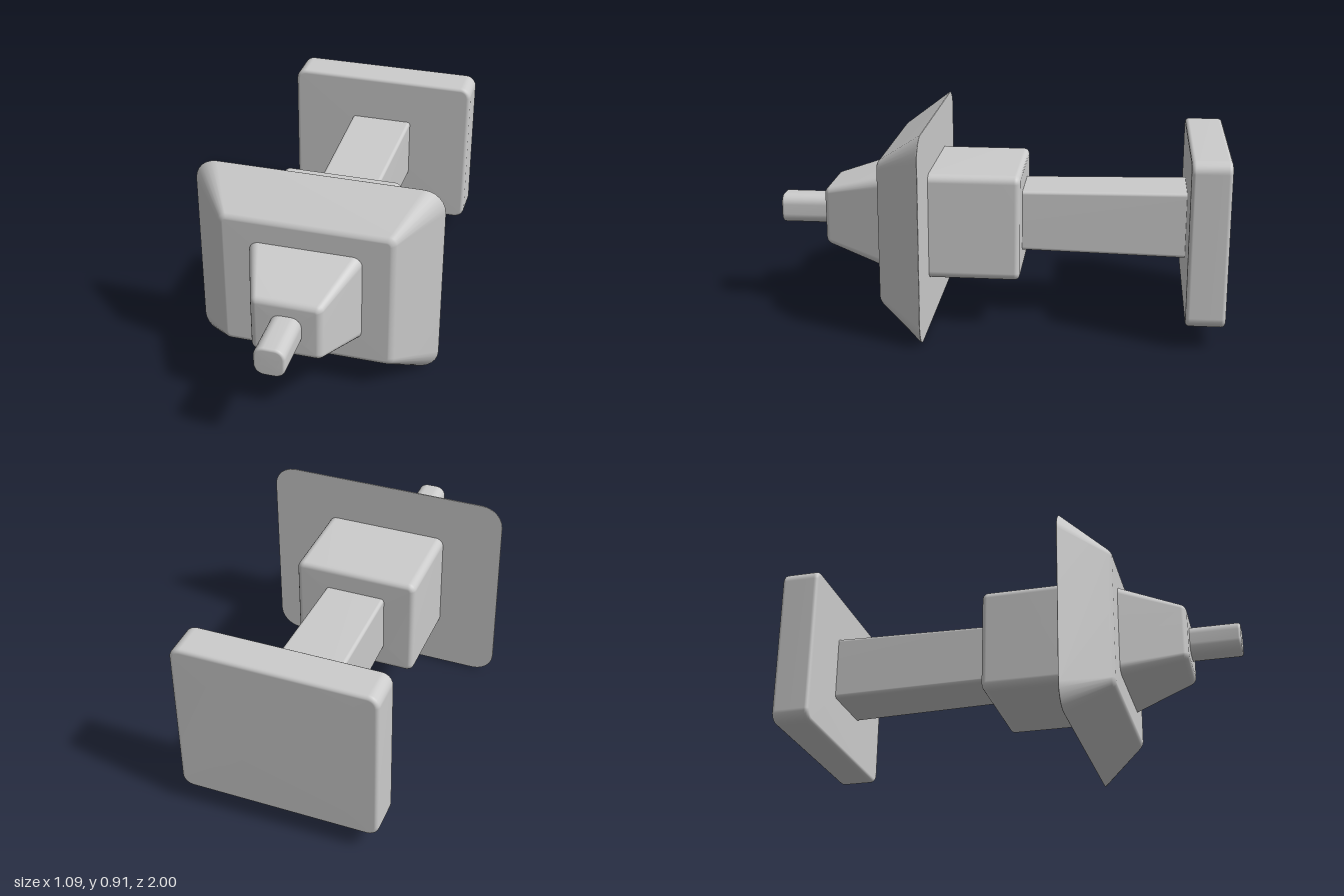
import * as THREE from 'three';

const ARC = 6; // segments per rounded corner
const BEVEL = 4; // segments per rounded end edge

// Outline of a rounded rectangle, counter-clockwise seen from +z
function roundedRect(w, h, r) {
  const pts = [];
  const corners = [[1, 1], [-1, 1], [-1, -1], [1, -1]];
  corners.forEach(([sx, sy], c) => {
    for (let i = 0; i <= ARC; i++) {
      const a = (c + i / ARC) * Math.PI / 2;
      pts.push([sx * (w - r) + r * Math.cos(a), sy * (h - r) + r * Math.sin(a)]);
    }
  });
  return pts;
}

// Solid between two rounded rectangles; each end = { z, w, h, r, b }:
// half width, half height, corner radius and edge bevel
function taperedBlock(back, front) {
  const rings = [];
  const addRing = (z, inset) => {
    const t = (z - back.z) / (front.z - back.z);
    const mix = (k) => THREE.MathUtils.lerp(back[k], front[k], t);
    rings.push({ z, pts: roundedRect(mix('w') - inset, mix('h') - inset, Math.max(mix('r') - inset, 0.004)) });
  };
  for (let i = 0; i <= BEVEL; i++) {
    const a = i / BEVEL * Math.PI / 2;
    addRing(back.z + back.b * (1 - Math.cos(a)), back.b * (1 - Math.sin(a)));
  }
  for (let i = BEVEL; i >= 0; i--) {
    const a = i / BEVEL * Math.PI / 2;
    addRing(front.z - front.b * (1 - Math.cos(a)), front.b * (1 - Math.sin(a)));
  }

  const n = rings[0].pts.length;
  const position = [];
  const index = [];
  rings.forEach(({ z, pts }) => pts.forEach(([x, y]) => position.push(x, y, z)));
  const last = (rings.length - 1) * n;
  const backCentre = rings.length * n;
  position.push(0, 0, back.z, 0, 0, front.z);
  for (let j = 0; j < n; j++) {
    const k = (j + 1) % n;
    for (let i = 0; i < last; i += n) {
      index.push(i + j, i + k, i + n + j, i + k, i + n + k, i + n + j);
    }
    index.push(backCentre, k, j, backCentre + 1, last + j, last + k);
  }
  const geometry = new THREE.BufferGeometry();
  geometry.setAttribute('position', new THREE.Float32BufferAttribute(position, 3));
  geometry.setIndex(index);
  geometry.computeVertexNormals();
  return geometry;
}

export function createModel() {
  const group = new THREE.Group();
  const material = new THREE.MeshStandardMaterial({ color: 0xcccccc });
  const add = (name, y, back, front) => {
    const mesh = new THREE.Mesh(taperedBlock(back, front), material);
    mesh.name = name;
    mesh.position.y = y;
    group.add(mesh);
  };

  // Flat plate at the rear
  const plate = { w: 0.44, h: 0.365, r: 0.05, b: 0.018 };
  add('backPlate', 0.463, { z: -1, ...plate }, { z: -0.83, ...plate });

  // Square shaft, slightly thicker towards the plate
  add('shaft', 0.463,
    { z: -0.85, w: 0.147, h: 0.148, r: 0.015, b: 0.005 },
    { z: -0.09, w: 0.136, h: 0.136, r: 0.015, b: 0.005 });

  // Block behind the flange
  const block = { w: 0.277, h: 0.237, r: 0.035, b: 0.025 };
  add('block', 0.463, { z: -0.11, ...block }, { z: 0.32, ...block });

  // Wide flange with sloping sides and a sharp rear rim
  add('flange', 0.46,
    { z: 0.29, w: 0.55, h: 0.46, r: 0.1, b: 0.006 },
    { z: 0.495, w: 0.375, h: 0.315, r: 0.03, b: 0.015 });

  // Tapered nose
  add('nose', 0.463,
    { z: 0.45, w: 0.261, h: 0.222, r: 0.045, b: 0.005 },
    { z: 0.778, w: 0.148, h: 0.127, r: 0.025, b: 0.022 });

  // Rounded tip
  const tip = { w: 0.067, h: 0.067, r: 0.045, b: 0.012 };
  add('tip', 0.463, { z: 0.74, ...tip }, { z: 1, ...tip });

  return group;
}
